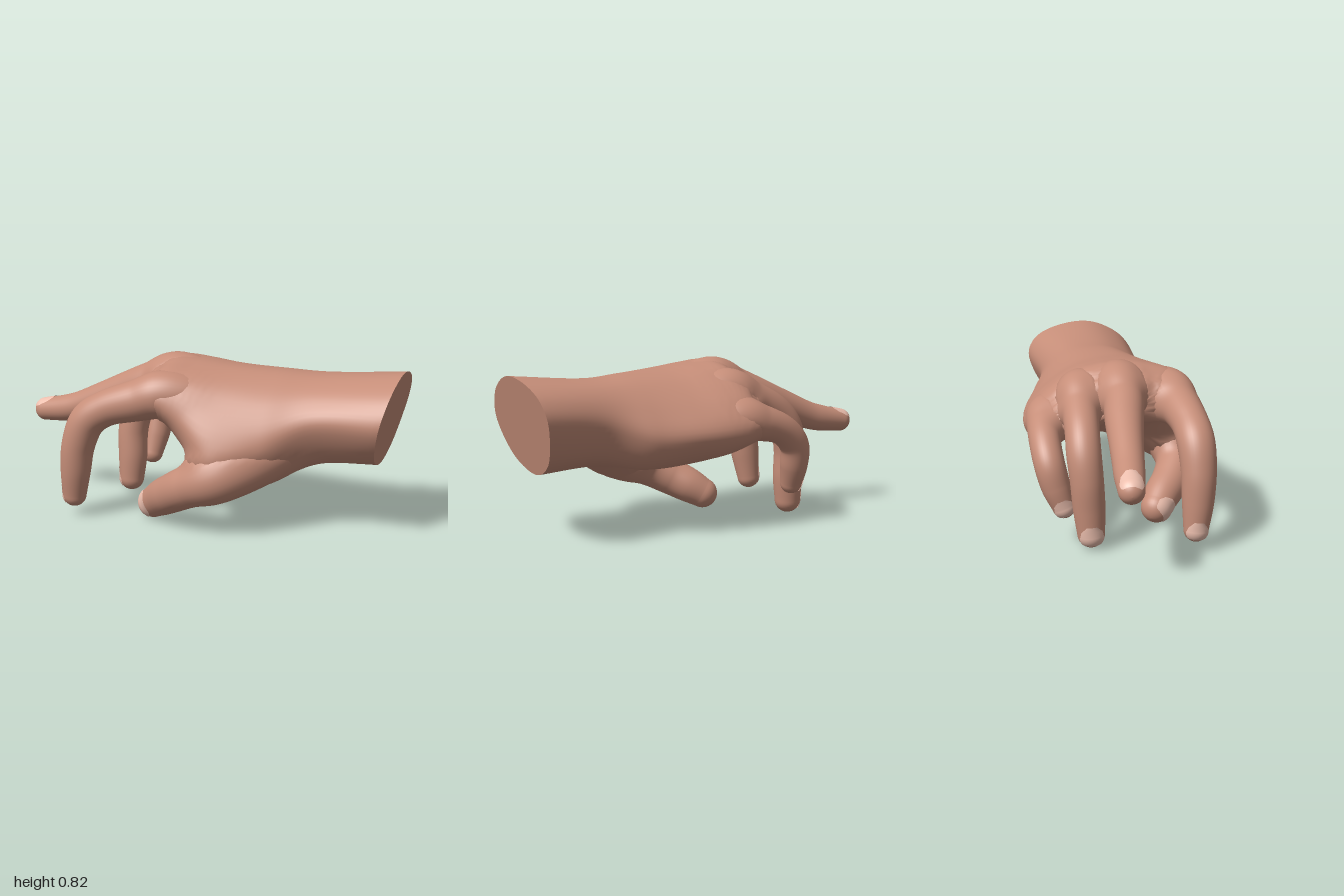
import * as THREE from 'three';

const skin = new THREE.MeshStandardMaterial({ color: 0xc68e79 });
const nailMaterial = new THREE.MeshStandardMaterial({ color: 0xecbfae, side: THREE.DoubleSide });
const V = (x, y, z) => new THREE.Vector3(x, y, z);
const spline = (points, closed = false) => new THREE.CatmullRomCurve3(points, closed, 'catmullrom');

// Smooth surface through rows of points; closed rows wrap round.
function gridGeometry(rows, closed = true) {
  const n = rows[0].length, index = [];
  for (let i = 0; i < rows.length - 1; i++) {
    for (let j = 0; j < (closed ? n : n - 1); j++) {
      const k = (j + 1) % n;
      const a = i * n + j, b = i * n + k, c = a + n, d = b + n;
      index.push(a, b, c, b, d, c);
    }
  }
  const g = new THREE.BufferGeometry().setFromPoints(rows.flat());
  g.setIndex(index);
  g.computeVertexNormals();
  return g;
}

function part(name, geometry, material = skin) {
  const mesh = new THREE.Mesh(geometry, material);
  mesh.name = name;
  return mesh;
}

// Limb along [x, y, z, radius] points, ending in a rounded tip.
// at(s, angle, lift): s 0..1 runs along the limb, 1..2 over the tip; angle 0 is the back.
function limb(points) {
  const path = spline(points.map(p => V(p[0], p[1], p[2])));
  const radii = spline(points.map(p => V(p[3], 0, 0)));
  const at = (s, angle, lift = 0) => {
    const t = Math.min(s, 1), tip = Math.max(s - 1, 0) * Math.PI / 2;
    const T = path.getTangent(t);
    const N = V(T.y, -T.x, 0).normalize();
    const B = T.clone().cross(N);
    const r = radii.getPoint(t).x + lift;
    return path.getPoint(t)
      .addScaledVector(T, r * Math.sin(tip))
      .addScaledVector(N, r * Math.cos(tip) * Math.cos(angle))
      .addScaledVector(B, r * Math.cos(tip) * Math.sin(angle));
  };
  const rows = [], balls = [];
  for (let i = 0; i <= 82; i++) {
    const s = i <= 72 ? i / 72 : 1 + (i - 72) / 10;
    rows.push(Array.from({ length: 36 }, (_, j) => at(s, j / 36 * Math.PI * 2)));
    if (s <= 1) balls.push({ centre: path.getPoint(s), radius: radii.getPoint(s).x });
  }
  return { at, balls, geometry: gridGeometry(rows) };
}

// Curved nail patch lying just above the skin, with rounded ends.
function nailGeometry(at, roll, start) {
  const rows = [];
  for (let i = 0; i <= 18; i++) {
    const u = i / 9 - 1;
    const s = start + (1.5 - start) * i / 18;
    const half = 1.05 * Math.sqrt(1 - 0.9 * u ** 6);
    rows.push(Array.from({ length: 13 }, (_, j) => at(s, roll + half * (j / 6 - 1), 0.003)));
  }
  return gridGeometry(rows, false);
}

// Signed distance and outward direction from a point to the nearest ball of the digits.
function probeBalls(balls, v) {
  let distance = Infinity, nearest;
  for (const ball of balls) {
    const d = v.distanceTo(ball.centre) - ball.radius;
    if (d < distance) { distance = d; nearest = ball; }
  }
  return { distance, normal: v.clone().sub(nearest.centre).normalize() };
}

// The same to a surface, as a weighted mean over the vertices close by.
function probeSurface(surface, v) {
  const p = surface.attributes.position.array, m = surface.attributes.normal.array;
  const n = V(0, 0, 0);
  let total = 0, sum = 0;
  for (let i = 0; i < p.length; i += 3) {
    const x = v.x - p[i], y = v.y - p[i + 1], z = v.z - p[i + 2];
    const d2 = x * x + y * y + z * z;
    if (d2 > 0.02) continue;
    const w = Math.exp(-d2 / 0.0008);
    total += w;
    sum += w * (x * m[i] + y * m[i + 1] + z * m[i + 2]);
    n.set(n.x + w * m[i], n.y + w * m[i + 1], n.z + w * m[i + 2]);
  }
  if (total < 1e-4) return { distance: Infinity, normal: n };
  return { distance: sum / total, normal: n.normalize() };
}

// Swells the skin where it nears another part, so that the two flow together.
function fillet(geometry, probe, reach = 0.08) {
  const g = geometry.clone(), { position, normal } = geometry.attributes;
  for (let i = 0; i < position.count; i++) {
    const v = V(0, 0, 0).fromBufferAttribute(position, i);
    const n = V(0, 0, 0).fromBufferAttribute(normal, i);
    const other = probe(v);
    const near = Math.max(0, 1 - Math.abs(other.distance) / reach);
    const corner = Math.min(1, 1 - n.dot(other.normal));
    v.addScaledVector(n, 0.45 * reach * corner * near * near);
    g.attributes.position.setXYZ(i, v.x, v.y, v.z);
  }
  g.computeVertexNormals();
  return g;
}

// Palm cross-sections: x, then [z, y] from the thumb side over the back to the underside.
const sections = [
  [0.94, [0.23, 0.55], [0.18, 0.68], [0.06, 0.76], [-0.07, 0.785], [-0.23, 0.755],
    [-0.34, 0.69], [-0.37, 0.58], [-0.27, 0.40], [-0.09, 0.325], [0.12, 0.39]],
  [0.62, [0.24, 0.54], [0.18, 0.66], [0.06, 0.735], [-0.07, 0.755], [-0.21, 0.73],
    [-0.30, 0.65], [-0.322, 0.54], [-0.24, 0.39], [-0.06, 0.335], [0.13, 0.355]],
  [0.40, [0.335, 0.44], [0.25, 0.63], [0.10, 0.74], [-0.04, 0.765], [-0.20, 0.73],
    [-0.33, 0.62], [-0.39, 0.48], [-0.28, 0.335], [-0.03, 0.32], [0.21, 0.24]],
  [0.18, [0.415, 0.42], [0.29, 0.65], [0.15, 0.755], [0, 0.78], [-0.19, 0.74],
    [-0.36, 0.62], [-0.44, 0.48], [-0.31, 0.345], [-0.02, 0.36], [0.33, 0.19]],
  [0.00, [0.37, 0.54], [0.31, 0.70], [0.20, 0.77], [0.01, 0.80], [-0.20, 0.755],
    [-0.38, 0.63], [-0.457, 0.49], [-0.35, 0.38], [-0.08, 0.46], [0.25, 0.39]],
  [-0.12, [0.365, 0.62], [0.33, 0.72], [0.25, 0.77], [0.01, 0.805], [-0.20, 0.755],
    [-0.38, 0.62], [-0.447, 0.50], [-0.35, 0.42], [-0.08, 0.50], [0.20, 0.50]],
  [-0.20, [0.33, 0.62], [0.30, 0.69], [0.21, 0.73], [0, 0.76], [-0.18, 0.70],
    [-0.33, 0.59], [-0.39, 0.51], [-0.31, 0.445], [-0.08, 0.52], [0.19, 0.53]],
];

function palmRows() {
  const count = 64, steps = 60;
  const rings = sections.map(([x, ...pts], i) => {
    // the wrist is cut at a slant
    const curve = spline(pts.map(([z, y]) => V(i === 0 ? x + (y - 0.555) * 0.23 : x, y, z)), true);
    return Array.from({ length: count }, (_, j) => curve.getPoint(j / count));
  });
  const along = rings[0].map((_, j) => spline(rings.map(r => r[j])));
  const rows = [];
  for (let i = 0; i <= steps; i++) rows.push(along.map(c => c.getPoint(i / steps)));
  // rounded end between the fingers
  const centre = V(-0.20, 0.61, -0.03);
  for (let i = 1; i <= 10; i++) {
    const a = i / 10 * Math.PI / 2;
    rows.push(rows[steps].map(p => {
      const q = p.clone().lerp(centre, 1 - Math.cos(a));
      q.x -= 0.05 * Math.sin(a);
      return q;
    }));
  }
  return rows;
}

// Digits from inside the palm to the tip; roll turns the nail, nail is where it starts.
const digits = {
  indexFinger: { roll: 0, nail: 0.95, points: [
    [0.18, 0.63, 0.14, 0.06], [-0.09, 0.662, 0.25, 0.108], [-0.25, 0.62, 0.287, 0.102],
    [-0.40, 0.575, 0.313, 0.09], [-0.50, 0.505, 0.325, 0.09], [-0.553, 0.38, 0.33, 0.084],
    [-0.575, 0.24, 0.325, 0.076], [-0.59, 0.11, 0.315, 0.06]] },
  middleFinger: { roll: 0, nail: 0.93, points: [
    [0.15, 0.67, 0.01, 0.07], [-0.13, 0.71, 0.01, 0.112], [-0.29, 0.66, 0.01, 0.10],
    [-0.43, 0.605, -0.005, 0.092], [-0.56, 0.555, -0.015, 0.082], [-0.71, 0.495, -0.025, 0.074],
    [-0.81, 0.467, -0.033, 0.07], [-0.94, 0.447, -0.043, 0.06]] },
  ringFinger: { roll: 0, nail: 0.94, points: [
    [0.15, 0.62, -0.16, 0.06], [-0.10, 0.67, -0.185, 0.105], [-0.25, 0.62, -0.195, 0.09],
    [-0.39, 0.55, -0.20, 0.083], [-0.465, 0.46, -0.20, 0.083], [-0.495, 0.34, -0.19, 0.08],
    [-0.495, 0.20, -0.18, 0.077], [-0.50, 0.075, -0.172, 0.066]] },
  littleFinger: { roll: 0, nail: 0.93, points: [
    [0.15, 0.52, -0.28, 0.06], [-0.07, 0.55, -0.343, 0.096], [-0.20, 0.525, -0.367, 0.082],
    [-0.32, 0.475, -0.37, 0.076], [-0.40, 0.395, -0.357, 0.074], [-0.42, 0.29, -0.33, 0.07],
    [-0.43, 0.19, -0.295, 0.055]] },
  thumb: { roll: -1.2, nail: 0.93, points: [
    [0.57, 0.47, 0.06, 0.08], [0.38, 0.375, 0.19, 0.125], [0.20, 0.29, 0.33, 0.123],
    [0.05, 0.23, 0.333, 0.106], [-0.06, 0.17, 0.287, 0.098], [-0.14, 0.122, 0.23, 0.092],
    [-0.205, 0.079, 0.19, 0.079]] },
};

export function createModel() {
  const model = new THREE.Group();
  model.name = 'hand';
  const rows = palmRows();
  const palm = gridGeometry(rows);
  const limbs = Object.values(digits).map(d => limb(d.points));
  const balls = limbs.flatMap(l => l.balls);

  // palm, wrist and the flat cut through the wrist
  model.add(part('palm', fillet(palm, v => probeBalls(balls, v))));
  const middle = rows[0].map(() => V(0.94, 0.555, -0.07));
  model.add(part('wristCut', gridGeometry([middle, rows[0]])));

  // thumb and fingers, each with its nail
  Object.entries(digits).forEach(([name, { roll, nail }], i) => {
    const digit = new THREE.Group();
    digit.name = name;
    digit.add(part(name + 'Skin', fillet(limbs[i].geometry, v => probeSurface(palm, v))));
    digit.add(part(name + 'Nail', nailGeometry(limbs[i].at, roll, nail), nailMaterial));
    model.add(digit);
  });
  return model;
}
